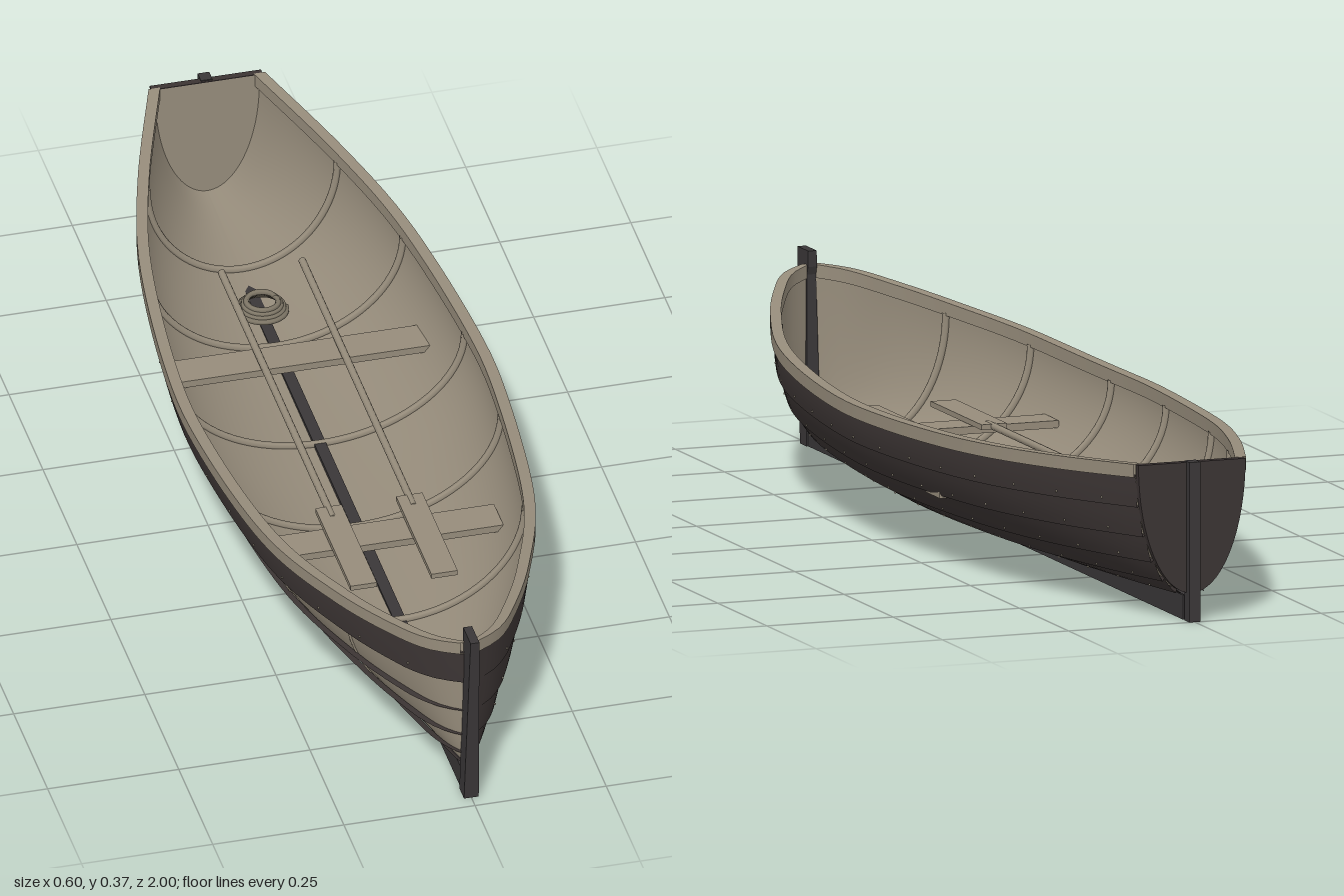
import * as THREE from 'three';

const paint = (name, color, side = THREE.FrontSide) => {
  const m = new THREE.MeshStandardMaterial({ color, side });
  m.name = name;
  return m;
};

// Hull lines: half breadth from a spline, sheer and floor from parabolas
const STERN = -0.975, BOW = 0.957;
const plan = new THREE.SplineCurve([
  [STERN, 0.1], [-0.72, 0.187], [-0.47, 0.248], [-0.14, 0.284], [0.1, 0.284],
  [0.45, 0.245], [0.69, 0.172], [0.85, 0.1], [0.92, 0.055], [BOW, 0.006],
].map(([z, b]) => new THREE.Vector2(z, b)));
function half(z) {
  let lo = 0, hi = 1;
  for (let i = 0; i < 24; i++) {
    const mid = (lo + hi) / 2;
    if (plan.getPoint(mid).x < z) lo = mid; else hi = mid;
  }
  return plan.getPoint(lo).y;
}
const sheer = (z) => 0.242 + (z > 0 ? 0.076 * (z / BOW) ** 2 : 0.036 * (z / STERN) ** 2);
const floorY = (z) => 0.035 + 0.018 * z * z;

// Point on the elliptical section at z; angle 0 = keel, PI/2 = sheer
function hullPoint(z, a, off, s) {
  const x = half(z) * Math.sin(a) + off * Math.sin(a);
  const y = floorY(z) + (sheer(z) - floorY(z)) * (1 - Math.cos(a)) - off * Math.cos(a);
  return [s * Math.max(x, 0), y, z];
}

// Surface from a grid of points; flip reverses the faces
function grid(nu, nv, point, flip) {
  const pos = [], idx = [];
  for (let i = 0; i <= nu; i++) for (let j = 0; j <= nv; j++) pos.push(...point(i / nu, j / nv));
  for (let i = 0; i < nu; i++) for (let j = 0; j < nv; j++) {
    const a = i * (nv + 1) + j, b = a + 1, c = a + nv + 1, d = c + 1;
    idx.push(...(flip ? [a, c, b, b, c, d] : [a, b, c, b, d, c]));
  }
  const g = new THREE.BufferGeometry();
  g.setAttribute('position', new THREE.Float32BufferAttribute(pos, 3));
  g.setIndex(idx);
  g.computeVertexNormals();
  return g;
}
const zAt = (t) => THREE.MathUtils.lerp(STERN, BOW, Math.sin(t * Math.PI / 2) * 0.5 + t * 0.5);

export function createModel() {
  const model = new THREE.Group();
  const wood = paint('weathered wood', 0x968c7b, THREE.DoubleSide);
  const tar = paint('tarred planking', 0x3b3433, THREE.DoubleSide);
  const keelDark = paint('dark keel timber', 0x3a3738);
  const ropeMat = paint('rope', 0x7f7767);
  const rivetMat = paint('rivet', 0xa39a88);
  const add = (name, geo, mat, parent = model) => {
    const m = new THREE.Mesh(geo, mat);
    m.name = name;
    parent.add(m);
    return m;
  };
  const box = (name, w, h, d, x, y, z, mat, parent) =>
    add(name, new THREE.BoxGeometry(w, h, d), mat, parent).position.set(x, y, z);

  // Inner skin, strakes, laps, rivets and gunwale on each side
  const STEP = Math.PI / 12, N = 56;
  const rivetGeo = new THREE.SphereGeometry(0.0022, 6, 4);
  for (const s of [1, -1]) {
    const side = new THREE.Group();
    side.name = s > 0 ? 'leftSide' : 'rightSide';
    model.add(side);
    const flip = s < 0;
    add('innerSkin', grid(N, 24, (u, v) => hullPoint(zAt(u), v * Math.PI / 2, -0.003, s), flip), wood, side);
    for (let k = 0; k < 6; k++) {
      const a0 = k * STEP;
      const lap = (z) => 0.008 * Math.min(1, (BOW - z) * 8 + 0.25);
      // The right side is bare below the top strake, with only the lap edges dark
      if (s > 0 || k === 5) {
        add('strake', grid(N, 4, (u, v) => {
          const z = zAt(u);
          return hullPoint(z, a0 + v * STEP, THREE.MathUtils.lerp(lap(z), 0.001, v), s);
        }, flip), tar, side);
        if (k > 0) for (let i = 0; i < 15; i++) {
          const z = -0.88 + i * 0.125;
          add('rivet', rivetGeo, rivetMat, side).position.set(...hullPoint(z, a0 + 0.05, 0.007, s));
        }
      }
      if (k > 0) add('lapEdge', grid(N, 1, (u, v) => {
        const z = zAt(u);
        return hullPoint(z, a0, THREE.MathUtils.lerp(-0.002, lap(z), v), s);
      }, flip), tar, side);
    }
    // Gunwale: a rectangular rail, one strip per face so the edges stay sharp
    const rail = [[-0.011, -0.004], [0.011, -0.004], [0.011, 0.021], [-0.011, 0.021]];
    rail.forEach((p, i) => {
      const q = rail[(i + 1) % 4];
      add('gunwale', grid(N, 1, (u, v) => {
        const z = zAt(u), b = half(z);
        const dx = p[0] + (q[0] - p[0]) * v, dy = p[1] + (q[1] - p[1]) * v;
        return [s * Math.max(b + dx, 0), sheer(z) + dy, z];
      }, flip), wood, side);
    });
  }

  // Ribs bent against the inner skin
  for (const z of [-0.715, -0.465, -0.145, 0.13, 0.447, 0.69]) {
    const pts = [];
    for (let i = -12; i <= 12; i++) {
      const s = i < 0 ? -1 : 1;
      pts.push(new THREE.Vector3(...hullPoint(z, Math.abs(i) / 12 * Math.PI / 2, -0.007, s)));
    }
    add('rib', new THREE.TubeGeometry(new THREE.CatmullRomCurve3(pts), 40, 0.007, 6), wood);
  }

  // Transom with a lighter inner face
  const tw = half(STERN) + 0.006, ty = floorY(STERN), th = sheer(STERN) + 0.02 - ty;
  const outline = new THREE.Shape();
  outline.moveTo(-tw, ty + th);
  for (let i = -16; i <= 16; i++) {
    const a = i / 16 * Math.PI / 2;
    outline.lineTo(tw * Math.sin(a), ty + th * (1 - Math.cos(a)));
  }
  outline.closePath();
  add('transom', new THREE.ExtrudeGeometry(outline, { depth: 0.014, bevelEnabled: false }), tar)
    .position.z = -0.986;
  add('transomLining', new THREE.ShapeGeometry(outline), wood).position.z = -0.97;

  // Keel and sternpost
  box('keel', 0.022, 0.046, 1.93, 0, 0.023, -0.003, keelDark);
  box('sternpost', 0.022, 0.3, 0.024, 0, 0.15, -0.988, keelDark);

  // Raked stem, narrowing towards its head
  const stem = new THREE.Shape([
    [0.973, 0], [1, 0.365], [0.945, 0.365], [0.945, 0.335], [0.95, 0.32], [0.94, 0.05], [0.94, 0],
  ].map(([z, y]) => new THREE.Vector2(-z, y)));
  const stemGeo = new THREE.ExtrudeGeometry(stem, { depth: 0.028, bevelEnabled: false });
  stemGeo.translate(0, 0, -0.014).rotateY(Math.PI / 2);
  const sp = stemGeo.attributes.position;
  for (let i = 0; i < sp.count; i++) sp.setX(i, sp.getX(i) * (1 - 1.1 * sp.getY(i)));
  stemGeo.computeVertexNormals();
  add('stem', stemGeo, keelDark);

  // Thwarts
  box('aftThwart', 0.485, 0.014, 0.07, 0, 0.14, -0.29, wood);
  box('foreThwart', 0.45, 0.014, 0.07, 0, 0.14, 0.305, wood);

  // Oars lying across the thwarts
  for (const s of [1, -1]) {
    const oar = new THREE.Group();
    oar.name = 'oar';
    oar.position.set(s * 0.077, 0.154, 0);
    model.add(oar);
    const shaft = new THREE.CylinderGeometry(0.007, 0.007, 0.82, 10).rotateX(Math.PI / 2);
    add('oarShaft', shaft, wood, oar).position.z = -0.16;
    box('oarBlade', 0.05, 0.01, 0.26, 0, 0, 0.348, wood, oar);
  }

  // Coiled rope on the bottom boards
  const coil = [];
  for (let i = 0; i <= 96; i++) {
    const t = i / 96, a = t * Math.PI * 8, r = 0.046 - 0.02 * t;
    coil.push(new THREE.Vector3(r * Math.cos(a), 0.056 + 0.022 * t, -0.572 + r * Math.sin(a)));
  }
  add('ropeCoil', new THREE.TubeGeometry(new THREE.CatmullRomCurve3(coil), 160, 0.0055, 6), ropeMat);

  return model;
}
